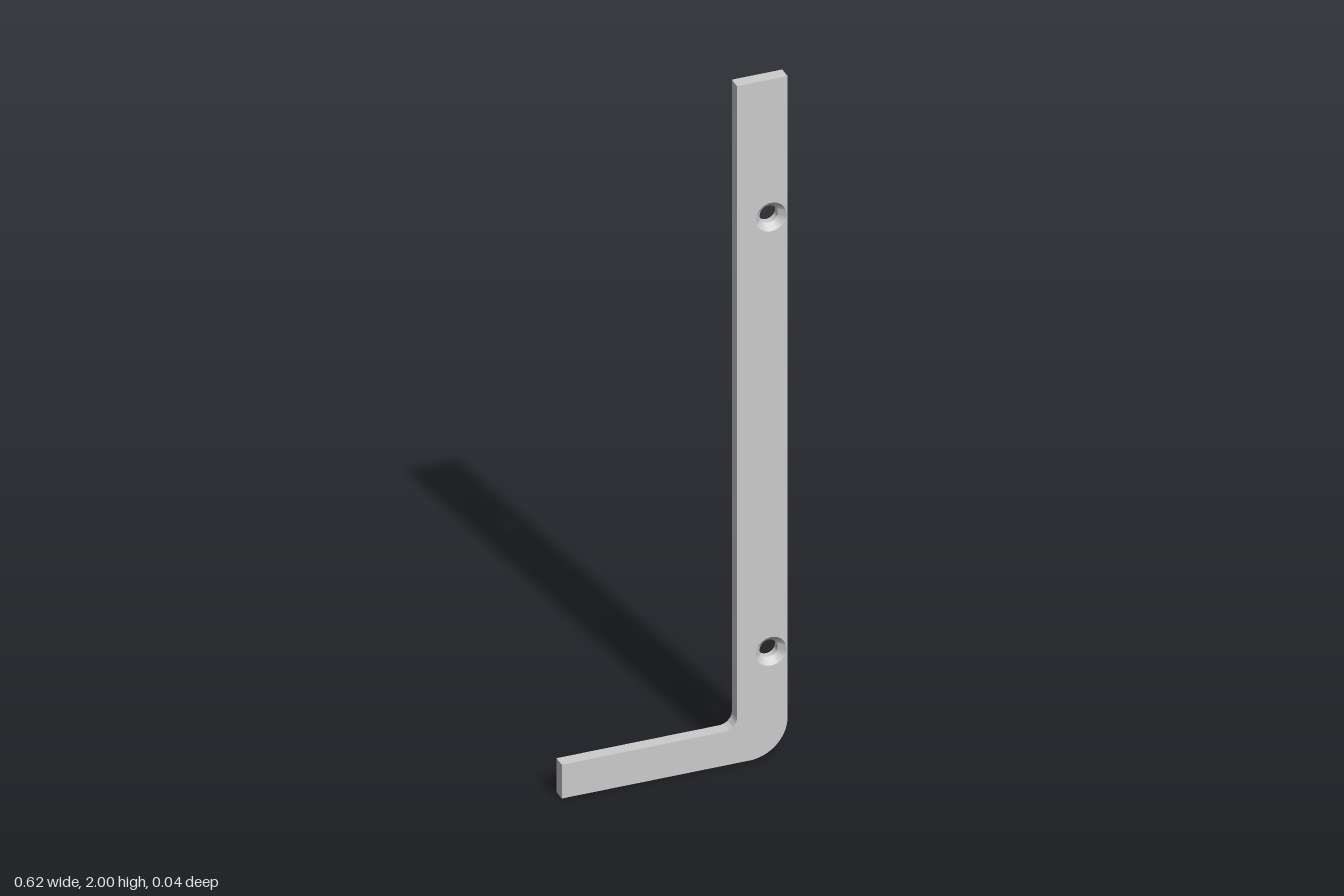
import * as THREE from 'three';
import { toCreasedNormals } from 'three/addons/utils/BufferGeometryUtils.js';

const HALF = 0.018;                      // half the plate thickness
const LEFT = -0.311, RIGHT = 0.311, INNER = 0.172, ARM = 0.1, TOP = 2;
const R_OUT = 0.105, R_IN = 0.035;       // bend radii
const HOLE_X = 0.266, HOLE_YS = [0.31, 1.593];
const R_HOLE = 0.025, R_SINK = 0.042, SINK = 0.017;
const SEG = 32;

// L-shaped outline, with round holes of the given radius (none if 0)
function outline(holeRadius) {
  const s = new THREE.Shape();
  s.moveTo(LEFT, 0);
  s.lineTo(RIGHT - R_OUT, 0);
  s.absarc(RIGHT - R_OUT, R_OUT, R_OUT, -Math.PI / 2, 0, false);
  s.lineTo(RIGHT, TOP);
  s.lineTo(INNER, TOP);
  s.lineTo(INNER, ARM + R_IN);
  s.absarc(INNER - R_IN, ARM + R_IN, R_IN, 0, -Math.PI / 2, true);
  s.lineTo(LEFT, ARM);
  s.closePath();
  if (holeRadius) {
    for (const y of HOLE_YS) {
      s.holes.push(new THREE.Path().absarc(HOLE_X, y, holeRadius, 0, Math.PI * 2, true));
    }
  }
  return s;
}

export function createModel() {
  const group = new THREE.Group();
  const mat = new THREE.MeshStandardMaterial({ color: 0xcccccc });
  const inside = new THREE.MeshStandardMaterial({ color: 0xcccccc, side: THREE.DoubleSide });
  const add = (name, geometry, material = mat) => {
    const mesh = new THREE.Mesh(geometry, material);
    mesh.name = name;
    group.add(mesh);
    return mesh;
  };

  // Flat faces: wide countersunk openings in front, narrow ones behind
  add('frontFace', new THREE.ShapeGeometry(outline(R_SINK), SEG / 2)).position.z = HALF;
  const back = new THREE.ShapeGeometry(outline(R_HOLE), SEG / 2);
  const index = back.index.array;
  for (let i = 0; i < index.length; i += 3) {       // turn the face backwards
    [index[i + 1], index[i + 2]] = [index[i + 2], index[i + 1]];
  }
  back.computeVertexNormals();
  add('backFace', back).position.z = -HALF;

  // Edge band around the outline: the side walls of an extrusion, without caps
  const solid = new THREE.ExtrudeGeometry(outline(0), {
    depth: HALF * 2, bevelEnabled: false, curveSegments: SEG / 2,
  });
  const walls = solid.groups[1];
  const pos = solid.attributes.position.array.slice(walls.start * 3, (walls.start + walls.count) * 3);
  const band = new THREE.BufferGeometry();
  band.setAttribute('position', new THREE.BufferAttribute(pos, 3));
  add('edgeBand', toCreasedNormals(band, 0.5)).position.z = -HALF;

  // Screw holes: a straight bore opening into a cone
  const profile = [[R_HOLE, -HALF], [R_HOLE, HALF - SINK], [R_SINK, HALF]]
    .map(([r, y]) => new THREE.Vector2(r, y));
  const bore = toCreasedNormals(new THREE.LatheGeometry(profile, SEG).rotateX(Math.PI / 2), 0.5);
  for (const y of HOLE_YS) {
    add('screwHole', bore, inside).position.set(HOLE_X, y, 0);
  }
  return group;
}
